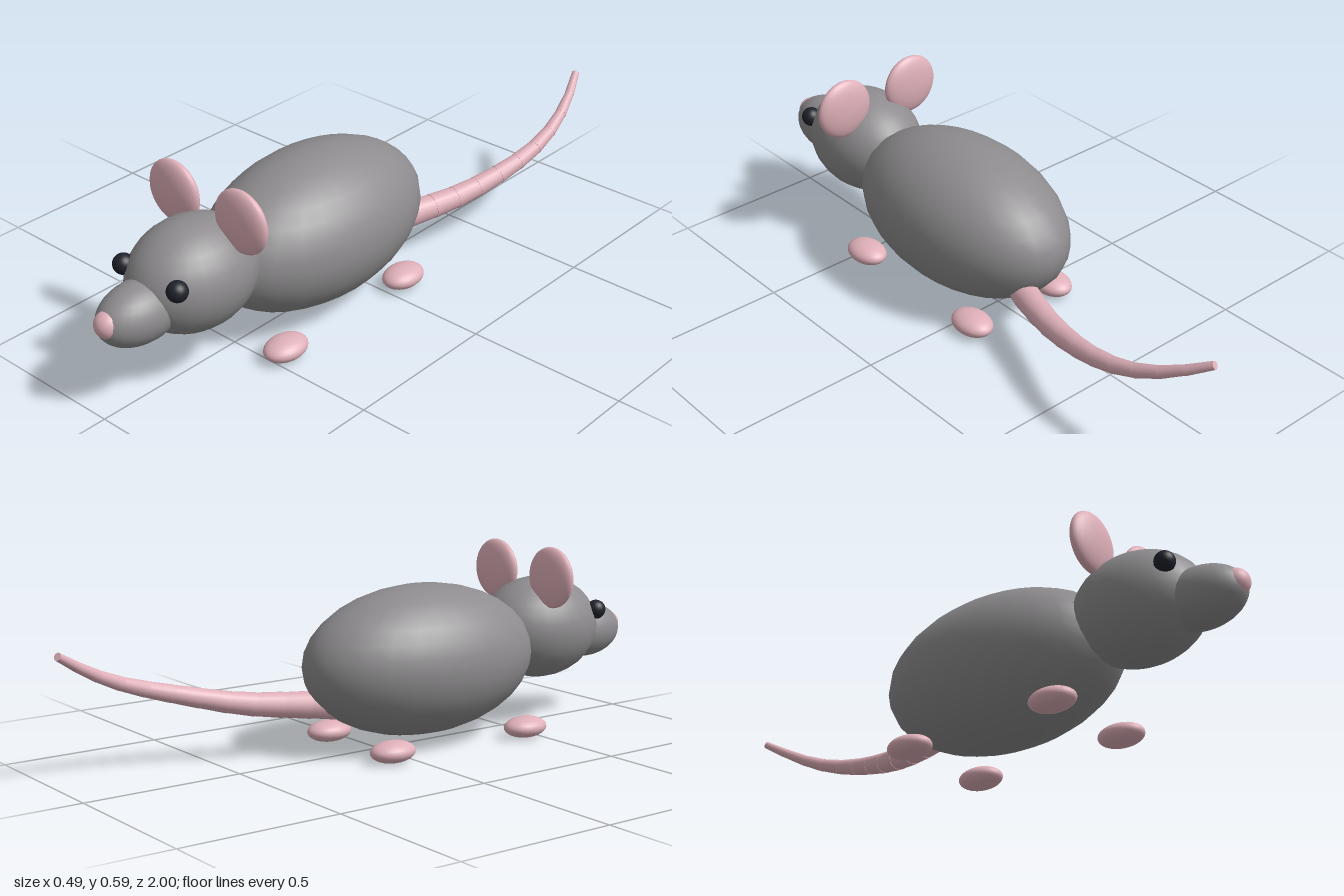
import * as THREE from 'three';

const paint = (name, color) => {
  const m = new THREE.MeshStandardMaterial({ color });
  m.name = name;
  return m;
};

export function createModel() {
  const mouse = new THREE.Group();
  mouse.name = 'mouse';
  const fur = paint('greyFur', 0x8e8c8e);
  const skin = paint('pinkSkin', 0xdfb0b9);
  const dark = paint('darkEye', 0x20222c);

  // Smooth ellipsoid with given radii and centre
  const ellipsoid = (name, material, radii, centre, rows = 16) => {
    const geometry = new THREE.SphereGeometry(1, 28, rows).scale(...radii);
    const mesh = new THREE.Mesh(geometry, material);
    mesh.name = name;
    mesh.position.set(...centre);
    mouse.add(mesh);
    return mesh;
  };

  // Body, head and muzzle
  ellipsoid('body', fur, [0.243, 0.233, 0.41], [0, 0.263, 0.16]);
  ellipsoid('head', fur, [0.165, 0.165, 0.21], [0, 0.312, 0.65]);
  ellipsoid('snout', fur, [0.09, 0.09, 0.14], [0, 0.28, 0.85]);
  ellipsoid('nose', skin, [0.041, 0.041, 0.041], [0, 0.29, 0.959]);

  // Mirrored ears, eyes and feet
  for (const [side, s] of [['left', 1], ['right', -1]]) {
    ellipsoid(side + 'Ear', skin, [0.097, 0.097, 0.031], [s * 0.131, 0.492, 0.583], 24);
    ellipsoid(side + 'Eye', dark, [0.031, 0.031, 0.031], [s * 0.107, 0.365, 0.805]);
    ellipsoid(side + 'FrontFoot', skin, [0.055, 0.033, 0.075], [s * 0.163, 0.035, 0.455]);
    ellipsoid(side + 'BackFoot', skin, [0.055, 0.033, 0.075], [s * 0.163, 0.035, -0.068]);
  }

  // Tail: tapered rings along a curve
  const path = new THREE.CatmullRomCurve3([
    [0.03, 0.15, -0.13], [0.07, 0.155, -0.22], [0.13, 0.172, -0.4], [0.177, 0.213, -0.58],
    [0.191, 0.246, -0.7], [0.185, 0.285, -0.81], [0.163, 0.335, -0.91], [0.13, 0.385, -0.996],
  ].map((p) => new THREE.Vector3(...p)));
  const tail = new THREE.Group();
  tail.name = 'tail';
  const rings = 11;
  const up = new THREE.Vector3(0, 1, 0);
  const radius = (t) => 0.044 - 0.032 * t;
  for (let i = 0; i < rings; i++) {
    const a = path.getPointAt(i / rings);
    const b = path.getPointAt((i + 1) / rings);
    const along = b.clone().sub(a);
    const geometry = new THREE.CylinderGeometry(
      radius((i + 1) / rings), radius(i / rings) * 1.04, along.length() * 1.04, 16);
    const ring = new THREE.Mesh(geometry, skin);
    ring.name = 'tailRing' + (i + 1);
    ring.position.copy(a).add(b).multiplyScalar(0.5);
    ring.quaternion.setFromUnitVectors(up, along.normalize());
    tail.add(ring);
  }
  mouse.add(tail);
  return mouse;
}
